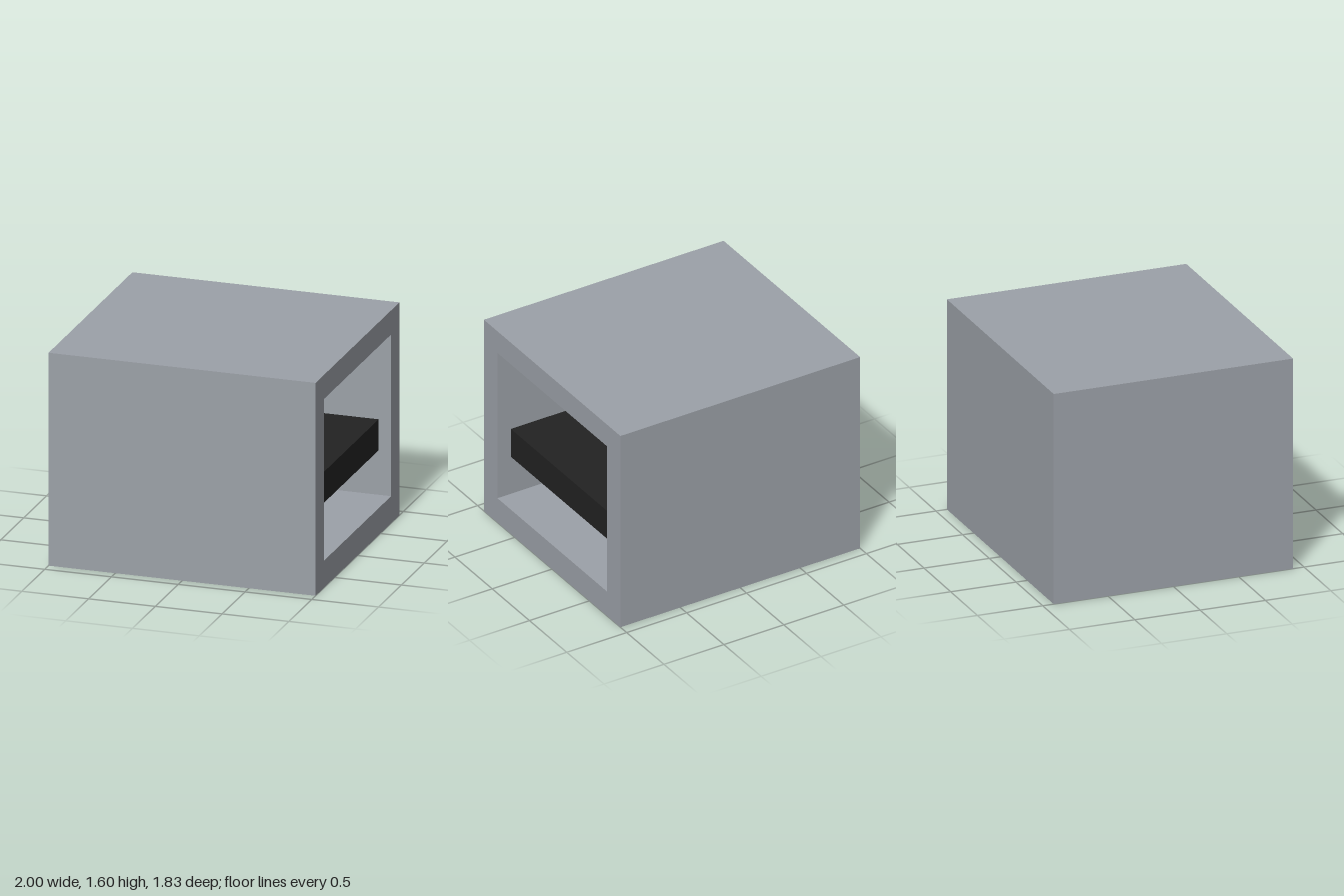
import * as THREE from 'three';

const HEIGHT = 1.597, HALF_DEPTH = 0.916;
const BACK_WALL = 0.18;

// Closed rectangle traced as a path or shape
function rect(path, halfW, y0, y1) {
  path.moveTo(-halfW, y0);
  path.lineTo(halfW, y0);
  path.lineTo(halfW, y1);
  path.lineTo(-halfW, y1);
  path.closePath();
  return path;
}

function box(name, material, [x0, x1], [y0, y1], halfZ) {
  const mesh = new THREE.Mesh(new THREE.BoxGeometry(x1 - x0, y1 - y0, 2 * halfZ), material);
  mesh.position.set((x0 + x1) / 2, (y0 + y1) / 2, 0);
  mesh.name = name;
  return mesh;
}

export function createModel() {
  const grey = new THREE.MeshStandardMaterial({ color: 0x9ca1a8 });
  grey.name = 'casing grey';
  const black = new THREE.MeshStandardMaterial({ color: 0x222222 });
  black.name = 'shelf black';

  const model = new THREE.Group();
  model.name = 'openBox';

  // Four walls around the opening, which faces +x
  const outline = rect(new THREE.Shape(), HALF_DEPTH, 0, HEIGHT);
  outline.holes.push(rect(new THREE.Path(), 0.734, 0.203, 1.416));
  const wallGeometry = new THREE.ExtrudeGeometry(outline, { depth: 2 - BACK_WALL, bevelEnabled: false });
  wallGeometry.rotateY(Math.PI / 2);
  const walls = new THREE.Mesh(wallGeometry, grey);
  walls.position.x = -1 + BACK_WALL;
  walls.name = 'casingWalls';
  model.add(walls);

  // Closed end of the casing
  model.add(box('endWall', grey, [-1, -1 + BACK_WALL], [0, HEIGHT], HALF_DEPTH));

  // Thick slab inside the cavity
  model.add(box('innerSlab', black, [-0.75, 0.93], [0.562, 0.794], 0.667));

  return model;
}
